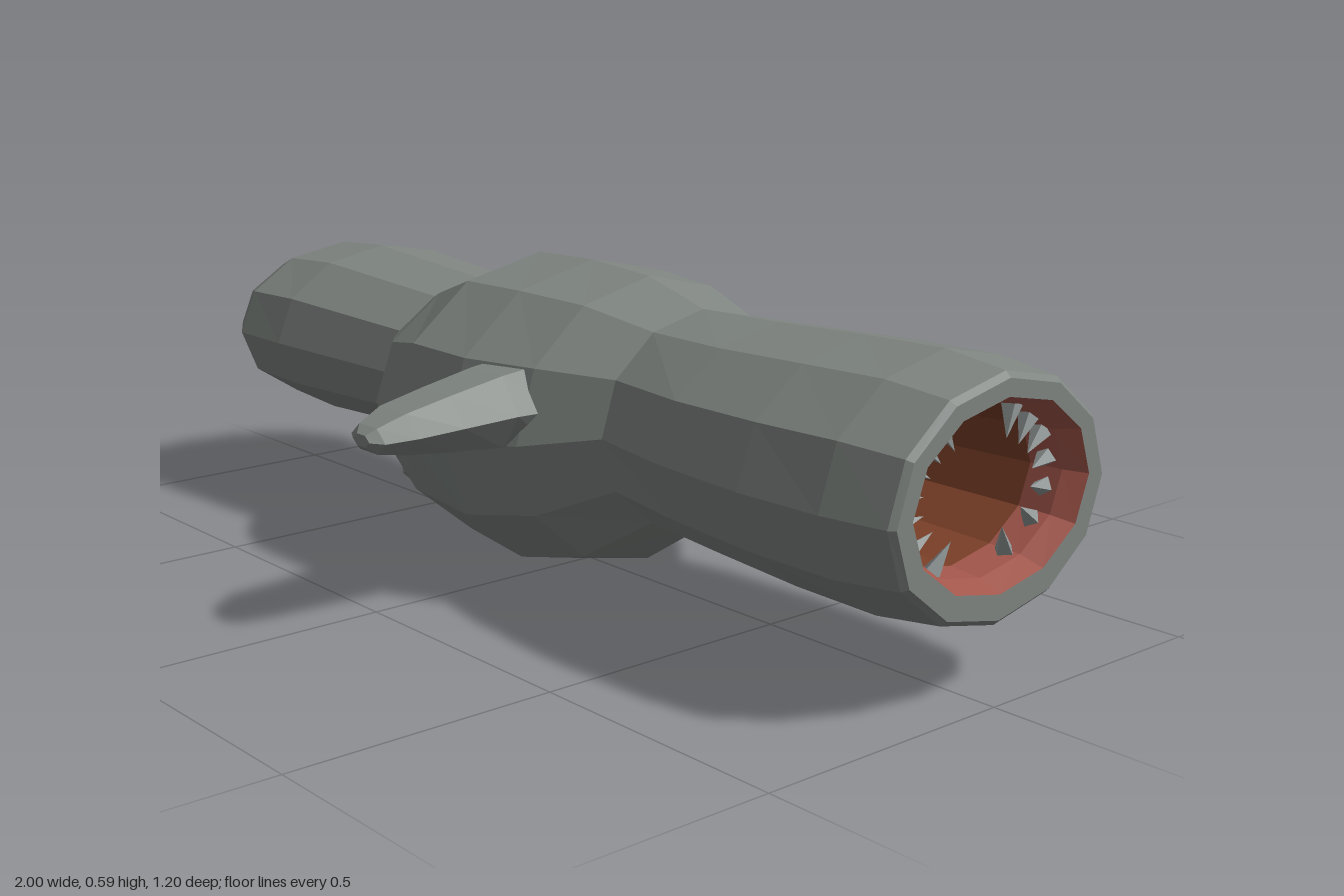
import * as THREE from 'three';

const mat = (name, color, extra = {}) => {
  const m = new THREE.MeshStandardMaterial({ color, flatShading: true, ...extra });
  m.name = name;
  return m;
};

// Skin over a list of rings (arrays of Vector3), closed around, optional flat end caps
function loft(rings, capStart = false, capEnd = false) {
  const p = [];
  const tri = (...v) => v.forEach((q) => p.push(q.x, q.y, q.z));
  const n = rings[0].length;
  for (let i = 0; i < rings.length - 1; i++) {
    for (let j = 0; j < n; j++) {
      const k = (j + 1) % n;
      const a = rings[i][j], b = rings[i][k], c = rings[i + 1][k], d = rings[i + 1][j];
      tri(a, b, c);
      tri(a, c, d);
    }
  }
  const first = rings[0], last = rings[rings.length - 1];
  for (let j = 1; j < n - 1; j++) {
    if (capStart) tri(first[0], first[j + 1], first[j]);
    if (capEnd) tri(last[0], last[j], last[j + 1]);
  }
  const g = new THREE.BufferGeometry();
  g.setAttribute('position', new THREE.Float32BufferAttribute(p, 3));
  g.computeVertexNormals();
  return g;
}

// Twelve-sided elliptical ring across x: [x, top, bottom, half width]
const bodyRing = ([x, top, bottom, w], n = 12) =>
  Array.from({ length: n }, (_, j) => {
    const a = (j / n) * Math.PI * 2;
    return new THREE.Vector3(x, (top + bottom) / 2 + ((top - bottom) / 2) * Math.cos(a), w * Math.sin(a));
  });

export function createModel() {
  const group = new THREE.Group();
  const skin = mat('greySkin', 0x7f8581);
  const gum = mat('pinkGum', 0xa3564b);
  const flesh = mat('redBrownFlesh', 0x7c4028);
  const dark = mat('darkBrown', 0x3a2810, { side: THREE.DoubleSide });
  const ivory = mat('greyTooth', 0x929998);

  const add = (name, geometry, material) => {
    const m = new THREE.Mesh(geometry, material);
    m.name = name;
    group.add(m);
    return m;
  };

  // Tail, belly and neck in one skin, ending in the flat lip
  add('body', loft([
    [-1, 0.385, 0.315, 0.04],
    [-0.94, 0.485, 0.22, 0.21],
    [-0.85, 0.52, 0.18, 0.265],
    [-0.7, 0.53, 0.17, 0.265],
    [-0.34, 0.505, 0.185, 0.235],
    [-0.325, 0.51, 0.15, 0.26],
    [-0.27, 0.535, 0.085, 0.31],
    [-0.15, 0.585, 0.02, 0.35],
    [0.01, 0.59, 0, 0.35],
    [0.17, 0.58, 0.04, 0.31],
    [0.315, 0.54, 0.14, 0.235],
    [0.5, 0.545, 0.135, 0.27],
    [0.7, 0.555, 0.125, 0.285],
    [0.87, 0.56, 0.12, 0.278],
    [0.99, 0.545, 0.135, 0.257],
    [1, 0.535, 0.145, 0.247],
    [1, 0.505, 0.188, 0.212],
  ].map((r) => bodyRing(r)), true), skin);

  // Mouth lining
  add('gum', loft([
    [1, 0.505, 0.188, 0.212],
    [0.96, 0.49, 0.205, 0.195],
    [0.9, 0.485, 0.21, 0.19],
  ].map((r) => bodyRing(r))), gum);
  add('throat', loft([
    [0.9, 0.485, 0.21, 0.19],
    [0.7, 0.475, 0.22, 0.175],
    [0.42, 0.44, 0.25, 0.085],
  ].map((r) => bodyRing(r)), false, true), flesh);
  add('throatEnd', loft([
    [0.44, 0.455, 0.24, 0.09],
    [0.445, 0.455, 0.24, 0.09],
  ].map((r) => bodyRing(r, 4)), true, true), dark);

  // Teeth pointing inward on both sides of the mouth
  const toothGeo = new THREE.ConeGeometry(0.023, 0.075, 4);
  for (const side of [1, -1]) {
    for (const deg of [8, 28, 45, 62, -13, -36, -62]) {
      const a = THREE.MathUtils.degToRad(deg);
      const out = new THREE.Vector3(0, Math.sin(a), side * Math.cos(a));
      const tooth = add('tooth', toothGeo, ivory);
      tooth.position.set(0.94, 0.347 + 0.118 * out.y, 0.168 * out.z);
      tooth.quaternion.setFromUnitVectors(new THREE.Vector3(0, 1, 0),
        out.clone().multiplyScalar(-1).setX(0.25).normalize());
    }
  }

  for (const s of [1, -1]) {
    // Side fin: [z, centre x, centre y, half length, half height]
    const finRings = [
      [0.22, 0.105, 0.37, 0.095, 0.09],
      [0.32, 0.1, 0.37, 0.092, 0.075],
      [0.43, 0.1, 0.365, 0.085, 0.058],
      [0.52, 0.098, 0.36, 0.078, 0.042],
      [0.58, 0.112, 0.358, 0.052, 0.026],
      [0.6, 0.12, 0.36, 0.025, 0.012],
    ].map(([z, x, y, w, h]) => Array.from({ length: 6 }, (_, j) => {
      const a = s * (j / 6) * Math.PI * 2;
      return new THREE.Vector3(x + w * Math.cos(a), y + h * Math.sin(a), s * z);
    }));
    add(s > 0 ? 'leftFin' : 'rightFin', loft(finRings, false, true), skin);

    // Stubby foot under the rear of the belly
    const profile = [[0.06, 0], [0.055, 0.09], [0.035, 0.13], [0, 0.14]]
      .map(([r, y]) => new THREE.Vector2(r, y));
    const foot = add('foot', new THREE.LatheGeometry(profile, 6), skin);
    foot.position.set(-0.235, 0.2, s * 0.15);
    foot.quaternion.setFromUnitVectors(new THREE.Vector3(0, 1, 0),
      new THREE.Vector3(-0.85, -0.45, s * 0.15).normalize());
  }

  // Dark patch under the tail
  const patch = add('tailPatch', new THREE.CylinderGeometry(0.065, 0.065, 0.008, 6), dark);
  patch.scale.z = 0.6;
  patch.position.set(-0.49, 0.177, 0);

  return group;
}
